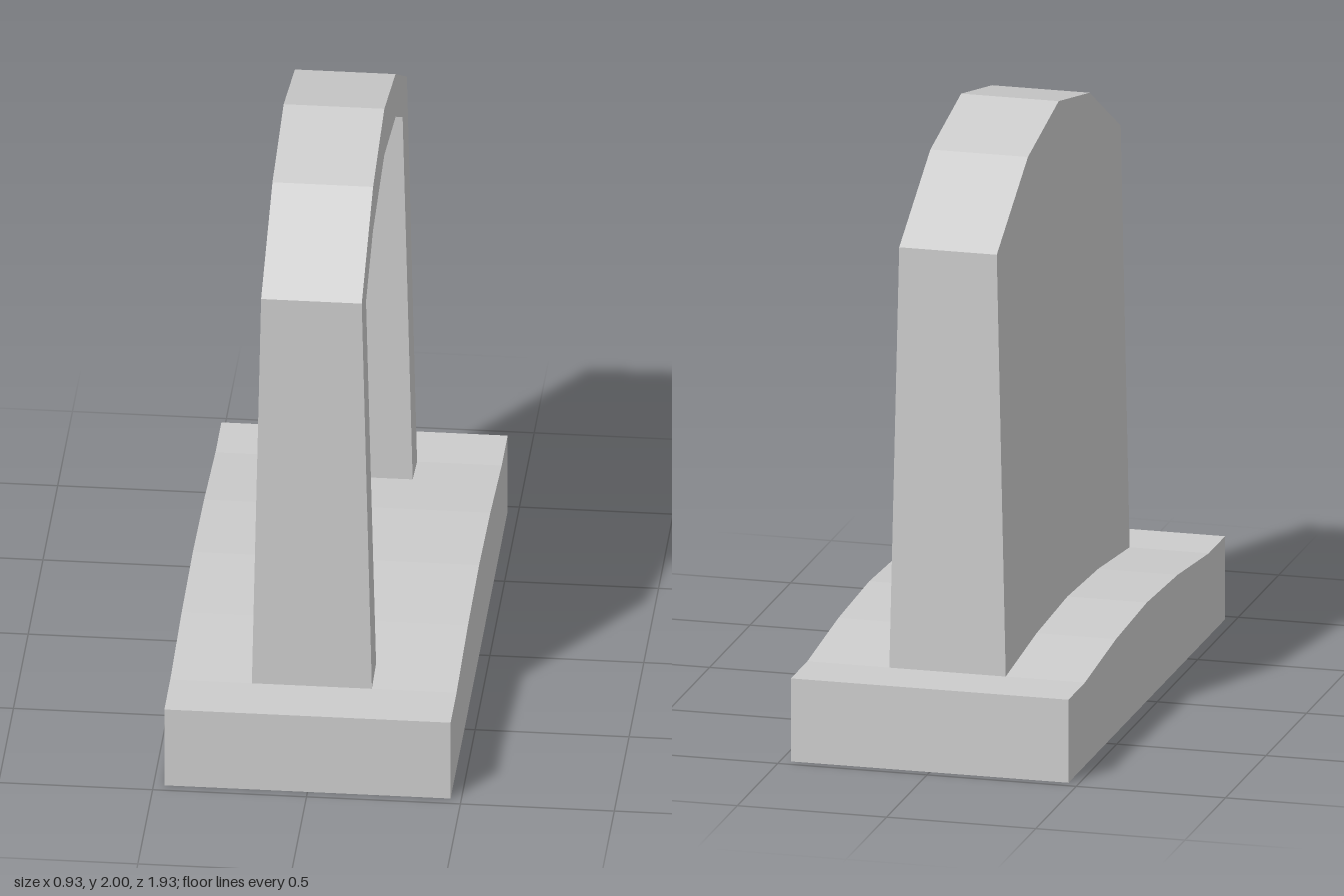
import * as THREE from 'three';

const material = new THREE.MeshStandardMaterial({ color: 0xcccccc, flatShading: true });

// Strip of quads between two rows of points
function strip(out, a, b) {
  for (let i = 0; i < a.length - 1; i++) {
    for (const p of [a[i], a[i + 1], b[i + 1], a[i], b[i + 1], b[i]]) out.push(...p);
  }
}

// Arched outline running up one side, over the top and down the other
function archPath(arch, footY, footX, topX) {
  const ends = [arch[0][0], arch[arch.length - 1][0]];
  return [
    [footX, footY, ends[0]],
    ...arch.map(([z, y]) => [topX, y, z]),
    [footX, footY, ends[1]],
  ];
}

function createStone() {
  const footY = 0.28;
  const outer = [[-0.765, 1.7], [-0.38, 1.92], [0, 2], [0.38, 1.92], [0.765, 1.7]];
  const inner = [[-0.62, 1.63], [-0.385, 1.76], [0, 1.83], [0.385, 1.76], [0.62, 1.63]];
  const outerBack = archPath(outer, footY, -0.2, -0.17);
  const outerFront = archPath(outer, footY, 0.19, 0.157);
  const innerFront = archPath(inner, footY, 0.19, 0.157);
  const innerBack = archPath(inner, footY, -0.118, -0.108);
  const top = (path) => path.slice(1, -1);
  const foot = (path) => top(path).map(([, , z]) => [path[0][0], footY, z]);

  const pos = [];
  strip(pos, outerBack, outerFront);            // outer sides and arch
  strip(pos, outerFront, innerFront);           // raised frame
  strip(pos, innerFront, innerBack);            // recess walls
  strip(pos, top(innerBack), foot(innerBack));  // recess panel
  strip(pos, foot(outerBack), top(outerBack));  // plain rear face

  const geo = new THREE.BufferGeometry();
  geo.setAttribute('position', new THREE.Float32BufferAttribute(pos, 3));
  geo.computeVertexNormals();
  const mesh = new THREE.Mesh(geo, material);
  mesh.name = 'archedStone';
  return mesh;
}

function createPlinth() {
  // Side profile (z, y) with a gently swelling top
  const profile = [
    [-0.967, 0], [0.967, 0], [0.967, 0.28], [0.765, 0.28], [0.38, 0.317],
    [0, 0.332], [-0.38, 0.317], [-0.765, 0.28], [-0.967, 0.28],
  ];
  const shape = new THREE.Shape(profile.map(([z, y]) => new THREE.Vector2(z, y)));
  const width = 0.93;
  const geo = new THREE.ExtrudeGeometry(shape, { depth: width, bevelEnabled: false });
  geo.translate(0, 0, -width / 2).rotateY(-Math.PI / 2);
  const mesh = new THREE.Mesh(geo, material);
  mesh.name = 'plinth';
  return mesh;
}

export function createModel() {
  const group = new THREE.Group();
  group.name = 'headstone';
  group.add(createPlinth(), createStone());
  return group;
}
